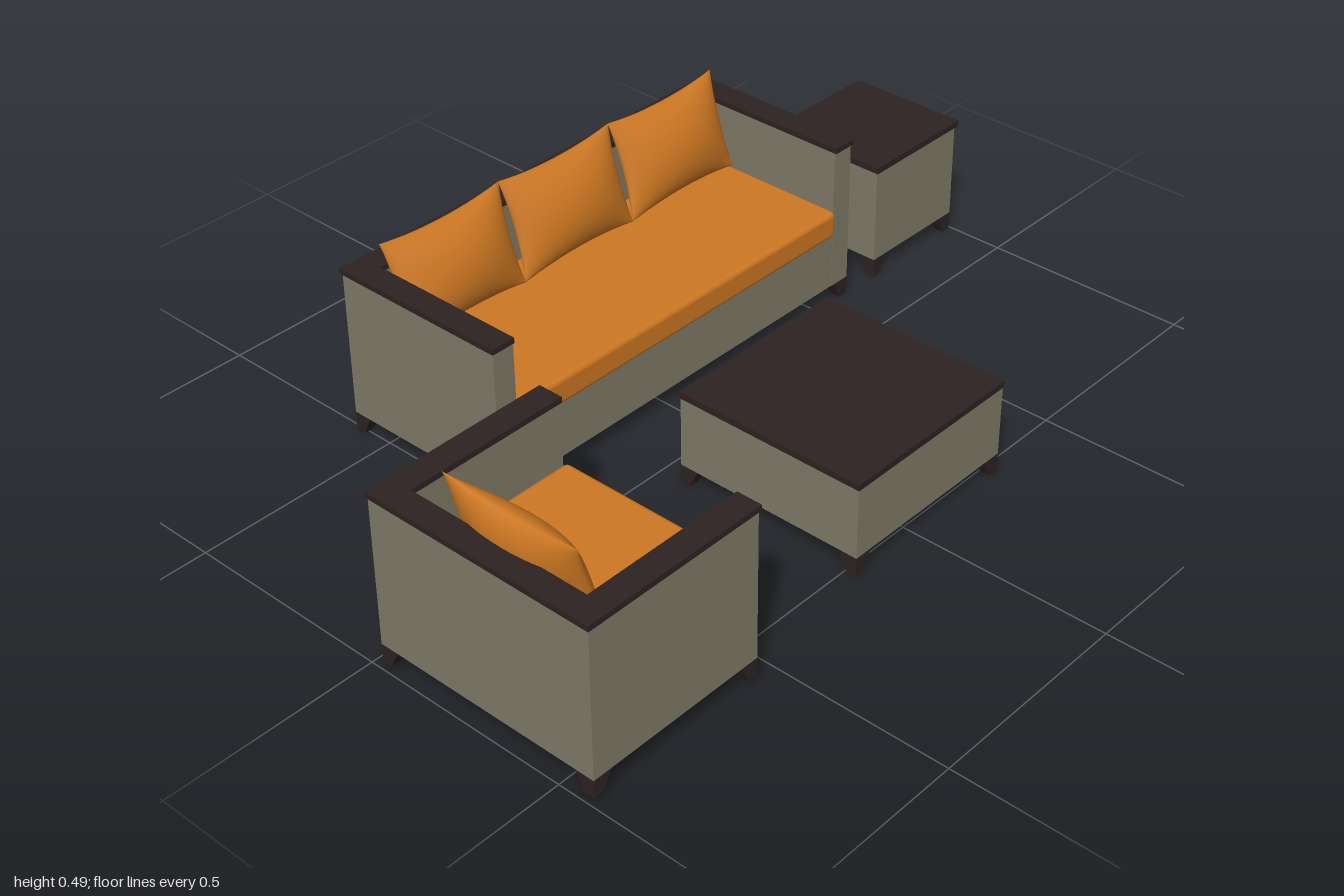
import * as THREE from 'three';
import { mergeVertices } from 'three/addons/utils/BufferGeometryUtils.js';
import { RoundedBoxGeometry } from 'three/addons/geometries/RoundedBoxGeometry.js';

const material = (name, color) => {
  const m = new THREE.MeshStandardMaterial({ color });
  m.name = name;
  return m;
};

export function createModel() {
  const wicker = material('olive wicker', 0x7f7b68);
  const wood = material('dark wood', 0x2e2222);
  const fabric = material('orange fabric', 0xcc7722);
  const lining = material('grey underside', 0xd0d0d0);

  const add = (parent, name, geometry, mat, x = 0, y = 0, z = 0) => {
    const mesh = new THREE.Mesh(geometry, mat);
    mesh.name = name;
    mesh.position.set(x, y, z);
    parent.add(mesh);
    return mesh;
  };
  // box given by its minimum and maximum corners
  const block = (parent, name, mat, [x0, y0, z0], [x1, y1, z1]) =>
    add(parent, name, new THREE.BoxGeometry(x1 - x0, y1 - y0, z1 - z0), mat,
      (x0 + x1) / 2, (y0 + y1) / 2, (z0 + z1) / 2);

  // legs: outer faces upright, inner faces tapering towards the floor
  const legs = (parent, x0, x1, z0, z1, h) => {
    const top = 0.045, foot = 0.024;
    for (const sx of [-1, 1]) for (const sz of [-1, 1]) {
      const g = new THREE.BoxGeometry(top, h, top);
      const p = g.attributes.position;
      for (let i = 0; i < p.count; i++) {
        if (p.getY(i) > 0) continue;
        if (p.getX(i) * sx < 0) p.setX(i, sx * (top / 2 - foot));
        if (p.getZ(i) * sz < 0) p.setZ(i, sz * (top / 2 - foot));
      }
      g.computeVertexNormals();
      add(parent, 'leg', g, wood,
        (sx < 0 ? x0 : x1) - sx * top / 2, h / 2, (sz < 0 ? z0 : z1) - sz * top / 2);
    }
  };

  // throw pillow: two domed sheets joined at a pinched seam
  const pillowGeometry = (() => {
    const n = 20, halfW = 0.17, halfH = 0.118, halfT = 0.054;
    const positions = [], index = [];
    for (const side of [1, -1]) {
      const base = positions.length / 3;
      for (let j = 0; j <= n; j++) for (let i = 0; i <= n; i++) {
        // sine spacing puts more rows near the seam
        const u = Math.sin((i / n - 0.5) * Math.PI), v = Math.sin((j / n - 0.5) * Math.PI);
        const a = Math.max(0, 1 - u * u), b = Math.max(0, 1 - v * v);
        positions.push(
          u * halfW * (1 - 0.07 * b),
          v * halfH * (1 - 0.11 * a),
          side * halfT * Math.pow(a * b, 0.62));
        if (i < n && j < n) {
          const p = base + j * (n + 1) + i, q = p + n + 1;
          index.push(...(side > 0 ? [p, p + 1, q + 1, p, q + 1, q] : [p, q + 1, p + 1, p, q, q + 1]));
        }
      }
    }
    const g = new THREE.BufferGeometry();
    g.setAttribute('position', new THREE.Float32BufferAttribute(positions, 3));
    g.setIndex(index);
    const merged = mergeVertices(g, 1e-5);
    merged.computeVertexNormals();
    return merged;
  })();

  // sofa or armchair facing +z, back edge at z = 0
  const seat = (name, width, depth, legH, height, pillowXs) => {
    const g = new THREE.Group();
    g.name = name;
    const w = width / 2, t = 0.06, e = 0.004, capY = height - 0.013, seatY = 0.184;
    const inner = w - t;
    block(g, 'backrest', wicker, [-w + e, legH, e], [w - e, capY, t - e]);
    block(g, 'seatBase', wicker, [-inner, legH, t - e], [inner, seatY, depth - e - 0.001]);
    block(g, 'backCap', wood, [-w, capY, 0], [w, height, t]);
    for (const s of [-1, 1]) {
      const a = s < 0 ? -w : inner, b = s < 0 ? -inner : w;
      block(g, 'armrest', wicker, [s < 0 ? a + e : a, legH, t - e], [s < 0 ? b : b - e, capY, depth - e]);
      block(g, 'armCap', wood, [a, capY, t], [b, height, depth]);
    }
    block(g, 'underside', lining, [-w + 0.008, legH - 0.003, 0.008], [w - 0.008, legH, depth - 0.01]);
    legs(g, -w + e, w - e, e, depth - e, legH);
    const cushionDepth = depth + 0.006 - t;
    add(g, 'seatCushion', new RoundedBoxGeometry(inner * 2, 0.067, cushionDepth, 3, 0.013), fabric,
      0, seatY + 0.0325, t + cushionDepth / 2);
    for (const x of pillowXs) {
      add(g, 'pillow', pillowGeometry, fabric, x, 0.363, 0.11).rotation.x = -0.31;
    }
    return g;
  };

  // box table with a slightly overhanging top
  const table = (name, size, height, over, lined) => {
    const g = new THREE.Group();
    g.name = name;
    const s = size / 2, b = s - over, legH = 0.045;
    block(g, 'tableBody', wicker, [-b, legH, -b], [b, height - 0.015, b]);
    block(g, 'tableTop', wood, [-s, height - 0.015, -s], [s, height, s]);
    if (lined) block(g, 'underside', lining, [-b + 0.004, legH - 0.003, -b + 0.004], [b - 0.004, legH, b - 0.004]);
    legs(g, -b, b, -b, b, legH);
    return g;
  };

  const model = new THREE.Group();
  model.name = 'patioFurnitureSet';

  const sofa = seat('sofa', 1.125, 0.453, 0.045, 0.409, [-0.343, -0.005, 0.333]);
  sofa.position.set(0.0475, 0, -0.595);

  const armchair = seat('armchair', 0.565, 0.45, 0.042, 0.404, [-0.02]);
  armchair.position.set(-1, 0.018, 0.3075);
  armchair.rotation.y = Math.PI / 2;

  const coffeeTable = table('coffeeTable', 0.474, 0.23, 0.002, false);
  coffeeTable.position.set(0.048, 0, 0.293);

  const sideTable = table('sideTable', 0.303, 0.297, 0.006, true);
  sideTable.position.set(0.8485, 0, -0.288);

  model.add(sofa, armchair, coffeeTable, sideTable);
  return model;
}
